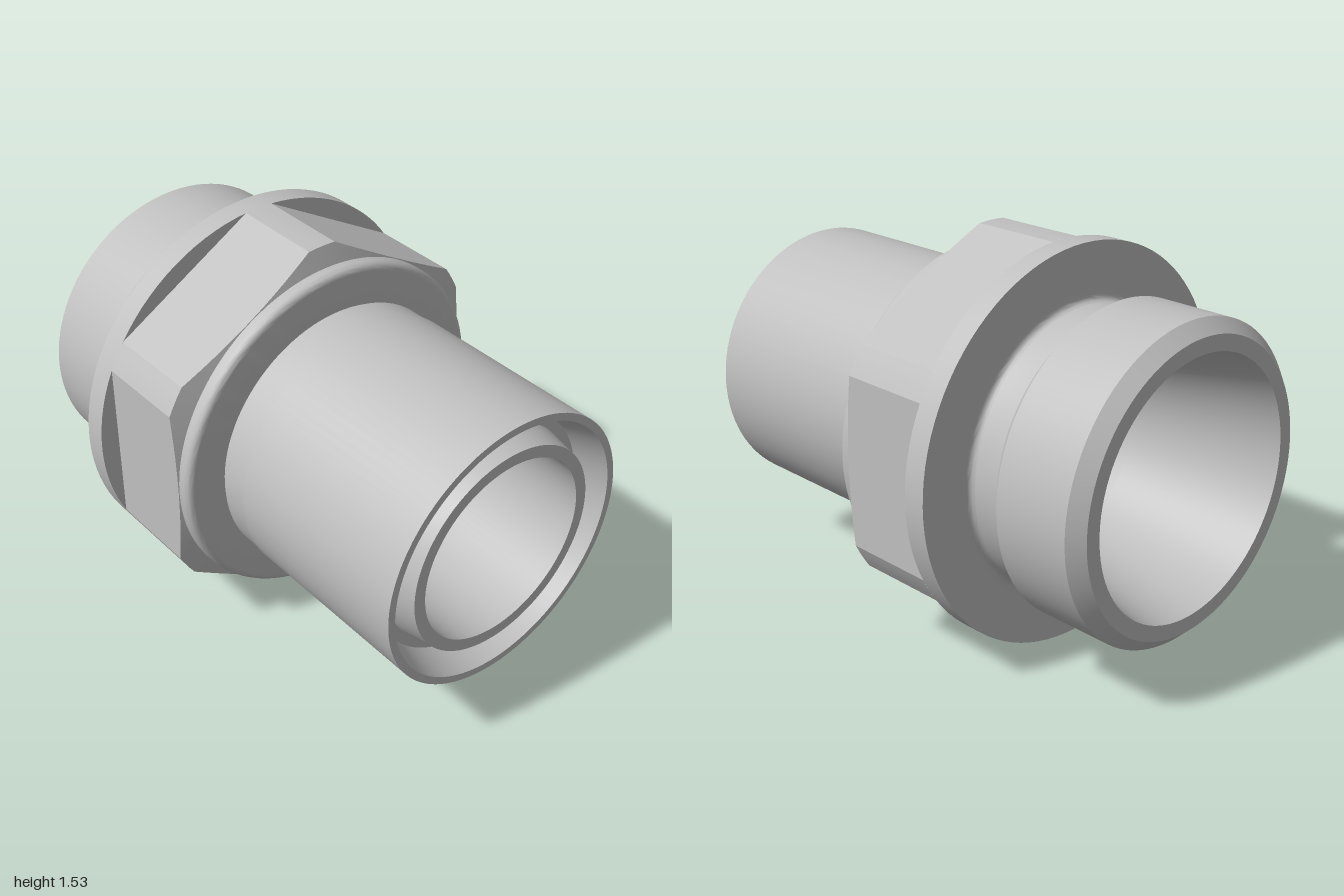
import * as THREE from 'three';
import { toCreasedNormals } from 'three/addons/utils/BufferGeometryUtils.js';

const R = 0.765;      // flange radius, also the height of the axis
const FLAT = 0.69;    // hexagon centre to flat
const CREASE = 0.35;

// Turn a profile of [x, radius] points around the x axis
function turned(profile) {
  const pts = profile.map(([x, r]) => new THREE.Vector2(r, x));
  const g = new THREE.LatheGeometry(pts, 96);
  g.rotateZ(-Math.PI / 2);
  return toCreasedNormals(g, CREASE);
}

// Quarter arc in profile space
function arc(cx, cr, rad, a0, a1, n = 5) {
  return Array.from({ length: n + 1 }, (_, i) => {
    const a = a0 + (a1 - a0) * i / n;
    return [cx + rad * Math.cos(a), cr + rad * Math.sin(a)];
  });
}

// Hexagon with its corners turned to R and a conical chamfer on the +x end
function hexagon(x0, x1, x2, rEnd) {
  const half = Math.acos(FLAT / R);
  const angles = [];
  for (let s = 0; s < 6; s++) {
    const mid = s * Math.PI / 3;
    for (let i = 0; i < 16; i++) angles.push([mid, -half + 2 * half * i / 16]);
    for (let i = 0; i < 3; i++) angles.push([mid, half + (Math.PI / 3 - 2 * half) * i / 3]);
  }
  const pos = [], idx = [], n = angles.length;
  for (const [mid, d] of angles) {
    const r = Math.abs(d) < half ? FLAT / Math.cos(d) : R;
    const xc = x1 + (x2 - x1) * (R - r) / (R - rEnd);   // where the cone meets the side
    for (const [x, q] of [[x0, r], [xc, r], [x2, rEnd]]) {
      pos.push(x, q * Math.sin(mid + d), q * Math.cos(mid + d));
    }
  }
  for (let i = 0; i < n; i++) {
    const a = i * 3, b = ((i + 1) % n) * 3;
    for (let k = 0; k < 2; k++) {
      idx.push(a + k, b + k + 1, b + k, a + k, a + k + 1, b + k + 1);
    }
  }
  // Angles run from +z towards +y, so flip the winding to face outwards
  for (let i = 0; i < idx.length; i += 3) [idx[i + 1], idx[i + 2]] = [idx[i + 2], idx[i + 1]];
  const g = new THREE.BufferGeometry();
  g.setAttribute('position', new THREE.Float32BufferAttribute(pos, 3));
  g.setIndex(idx);
  // Make sure the faces point away from the axis
  const p = g.attributes.position;
  const v = (i) => new THREE.Vector3().fromBufferAttribute(p, i);
  const [a, b, c] = [v(idx[0]), v(idx[1]), v(idx[2])];
  const normal = b.clone().sub(a).cross(c.clone().sub(a));
  if (normal.dot(new THREE.Vector3(0, a.y, a.z)) < 0) g.setIndex(idx.slice().reverse());
  return toCreasedNormals(g, CREASE);
}

export function createModel() {
  const model = new THREE.Group();
  model.name = 'pipeFitting';
  const steel = new THREE.MeshStandardMaterial({ color: 0xc0c0c0 });
  steel.name = 'steel';
  const fitting = new THREE.Group();
  fitting.name = 'fitting';
  fitting.position.y = R;
  model.add(fitting);
  const add = (name, geometry) => {
    const mesh = new THREE.Mesh(geometry, steel);
    mesh.name = name;
    fitting.add(mesh);
  };

  // Threaded end with undercut, and the round flange
  add('threadedEnd', turned([
    [-1, 0.49], [-1, 0.55], [-0.95, 0.60], [-0.64, 0.60], [-0.585, 0.545],
    ...arc(-0.485, 0.57, 0.025, -Math.PI / 2, 0), [-0.46, 0.6],
  ]));
  add('flange', turned([[-0.46, 0.58], [-0.46, R], [-0.37, R], [-0.37, 0.6]]));

  // Wrench hexagon
  add('hexagon', hexagon(-0.37, 0, 0.024, 0.687));

  // Collar with rounded rim
  add('collar', turned([
    [0.015, 0.687], ...arc(0.052, 0.659, 0.028, Math.PI / 2, 0), [0.08, 0.5],
  ]));

  // Tube end with neck step, end groove and inner sleeve
  add('tubeEnd', turned([
    [0.08, 0.525], [0.1, 0.525], [0.1, 0.537], [0.215, 0.537], [0.215, 0.542],
    [1, 0.542], [1, 0.512], [0.87, 0.475], [0.87, 0.435], [0.985, 0.413], [0.985, 0.365],
  ]));

  // Through bore, flaring into a cone at the threaded end
  add('bore', turned([[0.985, 0.365], [-0.41, 0.365], [-1, 0.49]]));

  return model;
}
